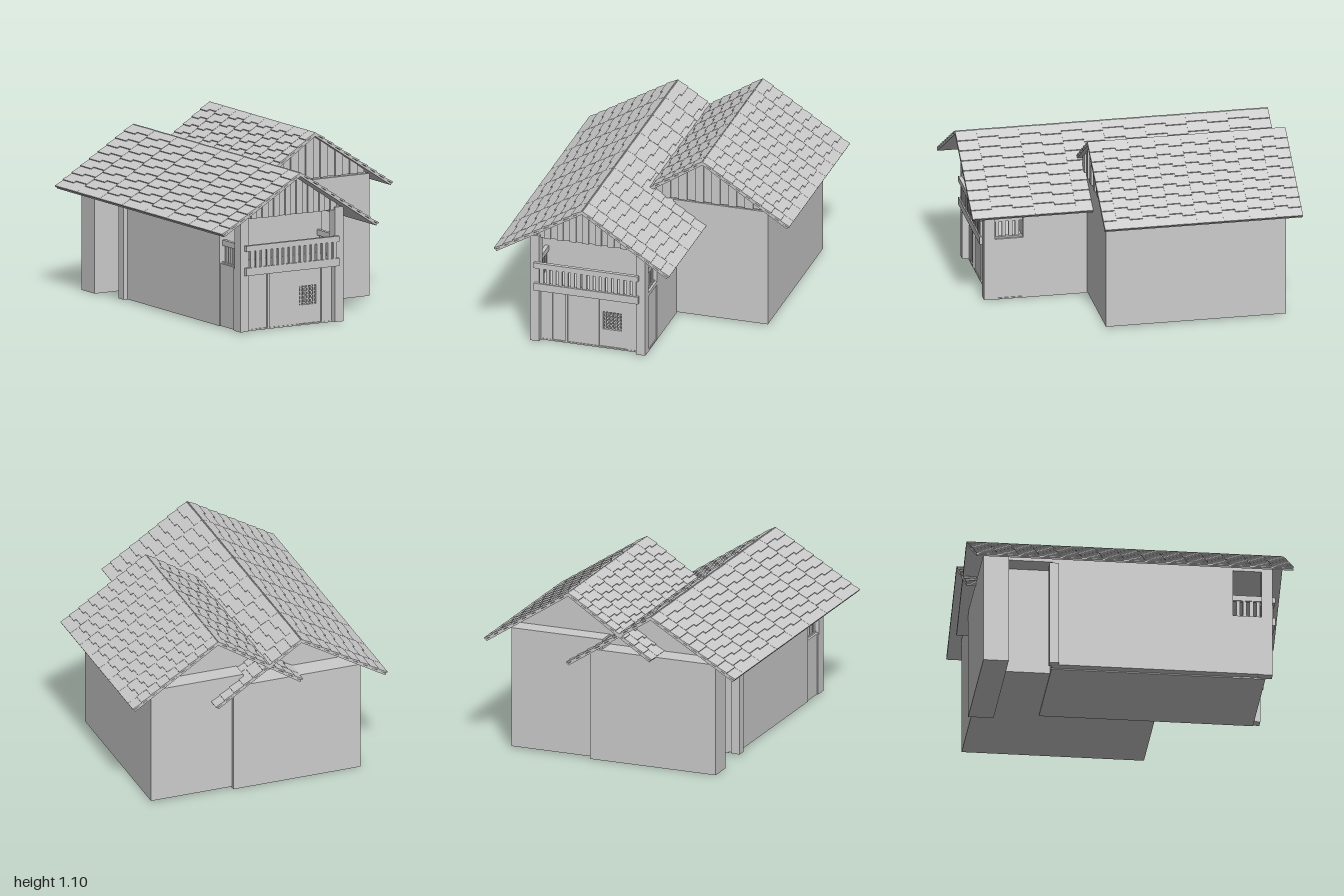
import * as THREE from 'three';
import { mergeGeometries } from 'three/addons/utils/BufferGeometryUtils.js';

export function createModel() {
  const root = new THREE.Group();
  const mat = new THREE.MeshStandardMaterial({ color: 0xcccccc, flatShading: true, side: THREE.DoubleSide });

  const add = (name, geo) => {
    const m = new THREE.Mesh(geo, mat);
    m.name = name;
    root.add(m);
    return m;
  };
  // box from its min and max corners
  const block = (x0, x1, y0, y1, z0, z1) =>
    new THREE.BoxGeometry(x1 - x0, y1 - y0, z1 - z0)
      .translate((x0 + x1) / 2, (y0 + y1) / 2, (z0 + z1) / 2);
  const shapeOf = (pts) => new THREE.Shape(pts.map((p) => new THREE.Vector2(p[0], p[1])));
  const prism = (shape, z0, z1) =>
    new THREE.ExtrudeGeometry(shape, { depth: z1 - z0, bevelEnabled: false }).translate(0, 0, z0);

  // one roof slope: a thin slab under overlapping, staggered shingles
  function slope(name, ridge, eave, z0, z1, columns, courses) {
    const dx = eave[0] - ridge[0], dy = eave[1] - ridge[1];
    const side = Math.sign(dx), len = Math.hypot(dx, dy);
    const angle = Math.atan2(dy * side, dx * side);
    const ux = dx / len, uy = dy / len;
    const nx = -uy * side, ny = ux * side;
    const geos = [];
    const plate = (from, to, thick, lift, za, zb, tilt) => {
      const g = new THREE.BoxGeometry(to - from, thick, zb - za);
      g.rotateZ(angle + tilt * side);
      const mid = (from + to) / 2;
      g.translate(ridge[0] + ux * mid + nx * lift, ridge[1] + uy * mid + ny * lift, (za + zb) / 2);
      geos.push(g);
    };
    plate(0, len - 0.005, 0.012, -0.018, z0, z1, 0);
    const step = len / courses, w = (z1 - z0) / columns;
    for (let c = 0; c < columns; c++) {
      const shift = c % 2 ? 0.018 : 0;
      for (let r = 0; r < courses; r++) {
        const from = r === 0 ? 0 : r * step - shift;
        const to = r === courses - 1 ? len : (r + 1) * step + 0.008 - shift;
        plate(from, to, 0.01, -0.006, z0 + c * w, z0 + (c + 1) * w, 0.09);
      }
    }
    add(name, mergeGeometries(geos));
  }
  const ridgeA = [-0.28, 1.012], ridgeB = [0.28, 1.1];
  slope('mainRoofOuterSlope', ridgeA, [-0.858, 0.668], -1, 1, 15, 9);
  slope('mainRoofInnerSlope', ridgeA, [0.295, 0.635], -1, 1, 15, 9);
  slope('wingRoofOuterSlope', ridgeB, [0.853, 0.725], -1, 0.265, 15, 9);
  slope('wingRoofInnerSlope', ridgeB, [-0.29, 0.725], -1, 0.265, 15, 9);

  // wing walls and gable
  add('wingWalls', block(0.08, 0.7, 0.01, 0.79, -0.92, 0.23));
  add('wingGable', prism(shapeOf([[-0.15, 0.785], [0.7, 0.785], [0.28, 1.07]]), -0.8, 0.215));

  // main house walls, rear passage and rear block
  add('mainWalls', block(-0.655, 0.1, 0.01, 0.72, -0.5, 0.64));
  add('passageWalls', block(-0.52, 0.1, 0.01, 0.72, -0.8, -0.5));
  add('rearBlock', block(-0.7, 0.155, 0, 0.725, -0.94, -0.78));
  add('mainGable', prism(shapeOf([[-0.65, 0.72], [0.1, 0.72], [0.1, 0.732], [-0.28, 0.978], [-0.65, 0.758]]), -0.8, 0.85));
  add('baseSlab', block(-0.6, 0.1, 0.003, 0.012, -0.5, 0.85));
  add('rearCornerPost', block(-0.685, -0.63, 0.01, 0.7, -0.52, -0.46));

  // vertical boards on a gable, clipped by the roof line
  function boards(name, x0, x1, count, yBottom, z, top) {
    const w = (x1 - x0) / count, geos = [];
    for (let i = 0; i < count; i++) {
      const a = x0 + i * w, b = a + w;
      const p = [[a, yBottom], [b, yBottom], [b, Math.max(top(b), yBottom + 0.002)], [a, Math.max(top(a), yBottom + 0.002)]];
      geos.push(prism(shapeOf(p), z, z + (i % 2 ? 0.014 : 0.026)));
    }
    add(name, mergeGeometries(geos));
  }
  boards('mainGableBoards', -0.65, 0.1, 18, 0.72, 0.85,
    (x) => 0.985 - (x < -0.28 ? 0.595 * (-0.28 - x) : 0.657 * (x + 0.28)));
  boards('wingGableBoards', -0.1, 0.66, 14, 0.8, 0.215, (x) => 1.07 - 0.655 * Math.abs(x - 0.28));

  // ground floor front wall with a window opening
  const wall = shapeOf([[-0.655, 0.01], [0.1, 0.01], [0.1, 0.4], [-0.655, 0.4]]);
  wall.holes.push(new THREE.Path([[-0.19, 0.13], [-0.19, 0.25], [-0.07, 0.25], [-0.07, 0.13]]
    .map((p) => new THREE.Vector2(p[0], p[1]))));
  add('groundFloorFront', prism(wall, 0.8, 0.84));
  add('groundFloorRoom', block(-0.65, 0.095, 0.012, 0.4, 0.64, 0.8));
  const lattice = [];
  for (let i = 0; i < 5; i++) {
    const x = -0.178 + i * 0.024, y = 0.142 + i * 0.024;
    lattice.push(block(x - 0.004, x + 0.004, 0.13, 0.25, 0.825, 0.835));
    lattice.push(block(-0.19, -0.07, y - 0.004, y + 0.004, 0.828, 0.838));
  }
  add('windowLattice', mergeGeometries(lattice));

  // wall planks, with the door between them
  [[-0.6, -0.52, 0.848], [-0.515, -0.44, 0.843], [-0.435, -0.42, 0.856], [-0.415, -0.215, 0.845], [-0.035, 0.04, 0.848]]
    .forEach(([a, b, z], i) => add(i === 1 ? 'door' : 'wallPlank', block(a, b, 0.012, 0.38, 0.83, z)));

  // front posts
  for (const x of [-0.655, 0.042]) add('frontPost', block(x, x + 0.06, 0.008, 0.74, 0.82, 0.89));

  // balcony floor, front railing and side railings
  add('balconyFloor', block(-0.65, 0.1, 0.385, 0.41, 0.64, 0.88));
  const front = [
    block(-0.625, 0.06, 0.367, 0.417, 0.885, 0.91),
    block(-0.625, 0.06, 0.522, 0.558, 0.885, 0.91),
  ];
  for (let i = 0; i < 16; i++) {
    const x = -0.575 + i * 0.0405;
    front.push(block(x - 0.013, x + 0.013, 0.415, 0.525, 0.888, 0.903));
  }
  add('frontRailing', mergeGeometries(front));
  for (const x of [-0.635, 0.06]) {
    const rail = [
      block(x, x + 0.025, 0.4, 0.42, 0.64, 0.83),
      block(x, x + 0.025, 0.522, 0.558, 0.64, 0.83),
    ];
    for (let i = 0; i < 4; i++) {
      const z = 0.675 + i * 0.042;
      rail.push(block(x + 0.005, x + 0.02, 0.415, 0.525, z - 0.012, z + 0.012));
    }
    add('sideRailing', mergeGeometries(rail));
  }
  return root;
}
